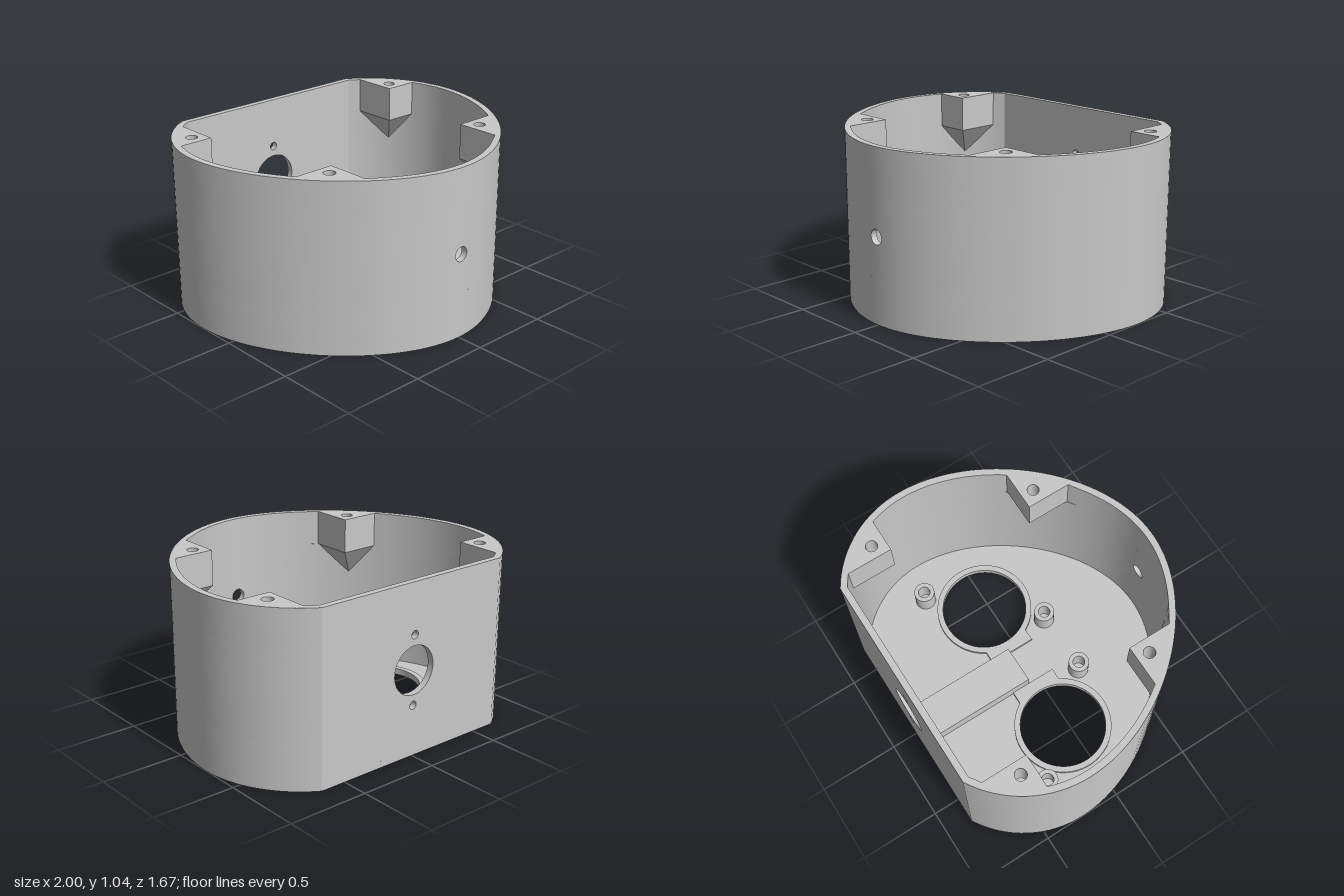
import * as THREE from 'three';
import { toCreasedNormals } from 'three/addons/utils/BufferGeometryUtils.js';
import { ConvexGeometry } from 'three/addons/geometries/ConvexGeometry.js';

const P = (x, z) => new THREE.Vector2(x, -z); // plan point (x, z) to shape space
const H = 1.036, RIM = 0.82, FLOOR = 0.04;
const BAND = [0.28, 0.76]; // height range of the wall panels that carry holes
const FW = 0.07; // half width of the front panel

// Right half of the plan outline, from the back corner to the front tip
function half(r, xMax, zBack, zFront, a, b) {
  const pts = [], zMid = -0.246, start = Math.asin((zMid - zBack) / r);
  for (let i = 0; i < 16; i++) {
    const t = start * (1 - i / 16);
    pts.push([0.32 + r * Math.cos(t), zMid - r * Math.sin(t)]);
  }
  const curve = new THREE.CubicBezierCurve(
    new THREE.Vector2(xMax, zMid), new THREE.Vector2(xMax, zMid + a),
    new THREE.Vector2(b, zFront), new THREE.Vector2(0, zFront));
  curve.getPoints(36).forEach(p => pts.push([p.x, p.y]));
  return pts;
}
const outerHalf = half(0.68, 1, -0.836, 0.835, 0.52, 0.49);
const innerHalf = half(0.64, 0.96, -0.796, 0.795, 0.5, 0.47);

// Depth of an outline near the front tip
function frontZ(outline, x) {
  const i = outline.findLastIndex(p => p[0] >= Math.abs(x));
  const [x0, z0] = outline[i], [x1, z1] = outline[Math.min(i + 1, outline.length - 1)];
  return x0 === x1 ? z0 : z0 + (z1 - z0) * (x0 - Math.abs(x)) / (x0 - x1);
}

// Inner half outline stepping around the corner screw blocks
const notchedHalf = [
  [0.648, -0.796], [0.713, -0.752], [0.713, -0.472], [0.92, -0.472],
  ...innerHalf.filter(p => p[1] > -0.462 && p[1] < 0.324),
  [0.76, 0.334], [0.512, 0.334], [0.512, 0.602],
  ...innerHalf.filter(p => p[1] > 0.612),
];

const mirror = h => [...h, ...h.slice(0, -1).reverse().map(([x, z]) => [-x, z])];
const toPts = list => list.map(([x, z]) => P(x, z));
const circle = (x, z, r, n = 40) => new THREE.Path(
  Array.from({ length: n }, (_, i) => {
    const t = i / n * Math.PI * 2;
    return P(x + r * Math.cos(t), z + r * Math.sin(t));
  }));

// Flat plan shape raised from y0 to y1; a counterclockwise outline keeps holes facing out
function plate(points, holes, y0, y1) {
  const shape = new THREE.Shape(THREE.ShapeUtils.isClockWise(points) ? [...points].reverse() : points);
  shape.holes.push(...holes);
  const geo = new THREE.ExtrudeGeometry(shape, { depth: y1 - y0, bevelEnabled: false });
  geo.rotateX(-Math.PI / 2);
  geo.translate(0, y0, 0);
  return toCreasedNormals(geo, 0.45);
}

// Upright panel with round holes given as [y, radius]
function panel(w, holes, z) {
  const [y0, y1] = BAND, steps = [-1, -0.5, 0, 0.5, 1];
  const shape = new THREE.Shape([
    ...steps.map(s => new THREE.Vector2(s * w, y0)),
    ...steps.map(s => new THREE.Vector2(-s * w, y1)),
  ]);
  for (const [y, r] of holes) shape.holes.push(new THREE.Path().absarc(0, y, r, 0, Math.PI * 2, true));
  const geo = new THREE.ExtrudeGeometry(shape, { depth: 0.04, bevelEnabled: false, curveSegments: 32 });
  geo.translate(0, 0, z);
  return geo;
}

// Front panel bent to the wall curve, with smooth normals on its two faces
function bentPanel() {
  const geo = panel(FW, [[0.52, 0.045]], 0);
  const pos = geo.attributes.position, nor = geo.attributes.normal, n = new THREE.Vector3();
  for (let i = 0; i < pos.count; i++) {
    const x = pos.getX(i), side = Math.sign(Math.round(nor.getZ(i)));
    pos.setZ(i, frontZ(pos.getZ(i) > 0.02 ? outerHalf : innerHalf, x));
    if (side) {
      n.set(1.6 * x, 0, 1).normalize().multiplyScalar(side);
      nor.setXYZ(i, n.x, n.y, n.z);
    }
  }
  return geo;
}

export function createModel() {
  const group = new THREE.Group();
  const grey = new THREE.MeshStandardMaterial({ color: 0xc8c8c8 });
  const add = (name, geo) => {
    const mesh = new THREE.Mesh(geo, grey);
    mesh.name = name;
    group.add(mesh);
  };
  const outer = toPts(mirror(outerHalf));
  const inner = () => new THREE.Path(toPts(mirror(innerHalf)));
  const cx = 0.463, cz = -0.042, sides = [1, -1];

  // Floor: recessed underside below, two large openings above
  const slot = new THREE.Path([P(-0.68, -0.65), P(0.68, -0.65), P(0.68, -0.49), P(-0.68, -0.49)]);
  add('floorUnderside', plate(outer, [slot, ...sides.map(s => circle(s * cx, cz, 0.384, 64))], 0, 0.02));
  add('floor', plate(outer, sides.map(s => circle(s * cx, cz, 0.267, 64)), 0.02, FLOOR));

  // Walls: full rings, with side shells between the pierced panels
  add('lowerWall', plate(outer, [inner()], FLOOR, BAND[0]));
  add('upperWall', plate(outer, [inner()], BAND[1], RIM));
  for (const s of sides) {
    const edge = (h, z) => [[0.3, z], ...h.filter(p => p[0] > FW + 0.001), [FW, frontZ(h, FW)]];
    const ring = [...edge(outerHalf, -0.836), ...edge(innerHalf, -0.796).reverse()];
    add('sideWall', plate(ring.map(([x, z]) => P(s * x, z)), [], ...BAND));
  }
  add('backPanel', panel(0.3, [[0.52, 0.146], [0.73, 0.025], [0.31, 0.025]], -0.836));
  add('frontPanel', bentPanel());

  // Rim with its corner screw blocks
  const screws = sides.flatMap(s => [circle(s * 0.79, -0.556, 0.035, 24), circle(s * 0.593, 0.412, 0.035, 24)]);
  add('rim', plate(outer, [new THREE.Path(toPts(mirror(notchedHalf))), ...screws], RIM, H));

  // Tapered supports under the blocks: edge, inner corner, edge, wall point
  const supports = [
    [[0.92, -0.472], [0.713, -0.472], [0.713, -0.752], [0.85, -0.617]],
    [[0.512, 0.602], [0.512, 0.334], [0.76, 0.334], [0.66, 0.467]],
  ];
  for (const s of sides) for (const c of supports) {
    const pts = c.map(([x, z]) => new THREE.Vector3(s * x, RIM, z));
    pts.push(new THREE.Vector3(s * c[3][0], 0.63, c[3][1]));
    add('blockSupport', new ConvexGeometry(pts));
  }

  for (const s of sides) {
    // Raised collar with a squared-off lug towards the middle
    const pts = [P(s * 0.12, -0.192), P(s * 0.12, 0.103)];
    const a0 = Math.PI - 0.49, a1 = -Math.PI + 0.52;
    for (let i = 0; i <= 56; i++) {
      const t = a0 + (a1 - a0) * i / 56;
      pts.push(P(s * (cx + 0.303 * Math.cos(t)), cz + 0.303 * Math.sin(t)));
    }
    add('collar', plate(pts, [circle(s * cx, cz, 0.267, 64)], FLOOR, 0.06));

    // Hollow screw posts
    for (const [x, z] of [[0.725, -0.327], [0.2, 0.246]])
      add('screwPost', plate(circle(s * x, z, 0.064, 32).getPoints(), [circle(s * x, z, 0.037, 24)], FLOOR, 0.17));
  }

  // Low block behind the back opening
  const block = new THREE.BoxGeometry(0.24, 0.1, 0.721);
  block.translate(0, 0.09, -0.4355);
  add('centreBlock', block);
  return group;
}
